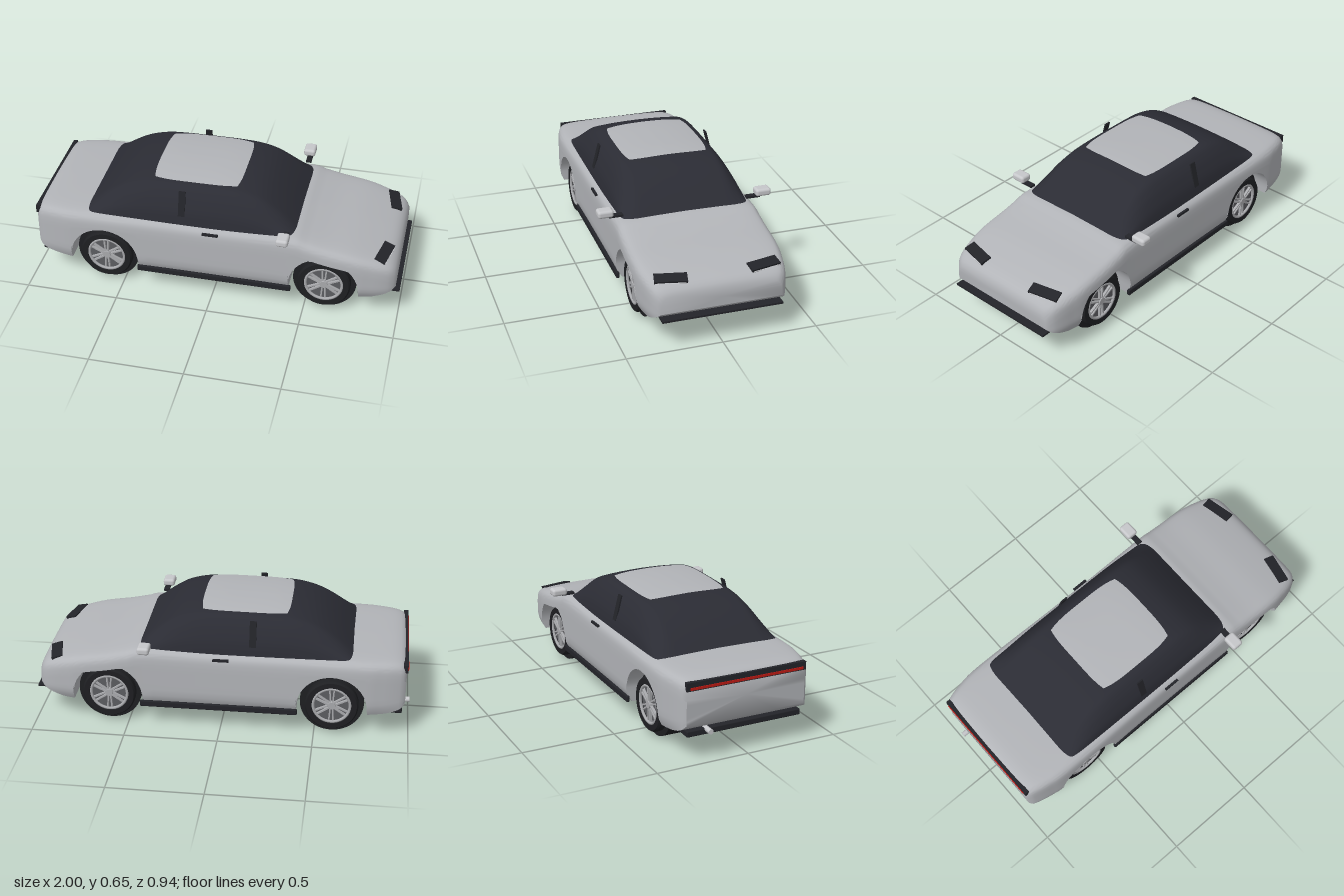
import * as THREE from 'three';
import { toCreasedNormals } from 'three/addons/utils/BufferGeometryUtils.js';
import { RoundedBoxGeometry } from 'three/addons/geometries/RoundedBoxGeometry.js';

const mat = (name, color) => {
  const m = new THREE.MeshStandardMaterial({ color });
  m.name = name;
  return m;
};

// Smooth curve through points, and a lookup of its height at x
const spline = (pts, n) => new THREE.SplineCurve(pts.map(p => new THREE.Vector2(...p))).getPoints(n);
function profile(pts) {
  const c = spline(pts, 300);
  return x => {
    let i = 1;
    while (i < c.length - 1 && c[i].x < x) i++;
    const a = c[i - 1], b = c[i];
    const t = THREE.MathUtils.clamp((x - a.x) / (b.x - a.x || 1), 0, 1);
    return a.y + (b.y - a.y) * t;
  };
}

// Skin over half sections [z, y] (bottom centre to top centre), mirrored in z, capped at both ends
function loft(stations, section, crease) {
  const pos = [], idx = [];
  let n = 0;
  for (const s of stations) {
    const half = section(s);
    const ring = [...half, ...half.slice(1, -1).reverse().map(([z, y]) => [-z, y])];
    n = ring.length;
    ring.forEach(([z, y]) => pos.push(s.x, y, z));
  }
  const m = stations.length;
  for (let i = 0; i < m - 1; i++) for (let j = 0; j < n; j++) {
    const k = (j + 1) % n, a = i * n + j, b = i * n + k;
    idx.push(a, a + n, b + n, a, b + n, b);
  }
  [0, m - 1].forEach(i => {
    const mid = pos.length / 3;
    const ys = section(stations[i]);
    pos.push(stations[i].x, (ys[0][1] + ys[ys.length - 1][1]) / 2, 0);
    for (let j = 0; j < n; j++) {
      const a = i * n + j, b = i * n + (j + 1) % n;
      i === 0 ? idx.push(mid, a, b) : idx.push(mid, b, a);
    }
  });
  const g = new THREE.BufferGeometry();
  g.setAttribute('position', new THREE.Float32BufferAttribute(pos, 3));
  g.setIndex(idx);
  return toCreasedNormals(g, crease);
}

export function createModel() {
  const car = new THREE.Group();
  car.name = 'car';
  const paint = mat('silver paint', 0xb2b4b8), glass = mat('dark glass', 0x2b2c34);
  const trim = mat('black trim', 0x232429), rubber = mat('rubber', 0x1e1f22);
  const alloy = mat('alloy', 0xa9aaad), dish = mat('wheel dish', 0x5c5d61);
  const light = mat('mirror and lens', 0xc6c7ca), red = mat('tail red', 0xc01a14);
  const add = (name, geo, m, x = 0, y = 0, z = 0, parent = car) => {
    const o = new THREE.Mesh(geo, m);
    o.name = name;
    o.position.set(x, y, z);
    parent.add(o);
    return o;
  };
  const box = (name, m, size, at, parent) => add(name, new THREE.BoxGeometry(...size), m, ...at, parent);
  const wheelX = [-0.59, 0.602], wheelR = 0.17, archR = 0.188;

  // Body shell: top line, underside and plan width, with the wheel arches cut into the underside
  const top = profile([[-0.973, 0.415], [-0.95, 0.435], [-0.85, 0.448], [-0.5, 0.453], [0, 0.453], [0.4, 0.459],
    [0.5, 0.44], [0.6, 0.418], [0.75, 0.393], [0.9, 0.355], [0.955, 0.33], [0.978, 0.3]]);
  const under = profile([[-0.973, 0.2], [-0.95, 0.175], [-0.9, 0.155], [-0.8, 0.14], [-0.4, 0.115], [0.4, 0.115],
    [0.8, 0.13], [0.88, 0.145], [0.95, 0.175], [0.978, 0.2]]);
  const width = profile([[-0.973, 0.33], [-0.95, 0.35], [-0.85, 0.375], [-0.7, 0.388], [-0.2, 0.383], [0.3, 0.383],
    [0.7, 0.388], [0.85, 0.372], [0.94, 0.347], [0.978, 0.315]]);
  const stations = [];
  const plain = (a, b, n) => {
    for (let i = 0; i <= n; i++) {
      const x = a + (b - a) * i / n;
      stations.push({ x, yb: under(x) });
    }
  };
  const arch = c => {
    for (let i = 0; i <= 20; i++) {
      const a = Math.PI * (1 - i / 20);
      stations.push({ x: c + Math.cos(a) * (archR - 0.002), yb: wheelR + Math.sin(a) * archR });
    }
  };
  plain(-0.973, wheelX[0] - archR, 12);
  arch(wheelX[0]);
  plain(wheelX[0] + archR, wheelX[1] - archR, 14);
  arch(wheelX[1]);
  plain(wheelX[1] + archR, 0.978, 14);
  const shoulder = spline([[1, 0.09], [0.99, 0.05], [0.955, 0.025], [0.87, 0.01], [0.6, 0.003], [0, 0]], 18);
  add('body', loft(stations, ({ x, yb }) => {
    const w = width(x), yt = top(x), ys = yt - 0.09;
    const tuck = y => w * (1 - 0.08 * Math.max(0, (0.2 - y) / 0.08) ** 2);
    const low = Math.min(yb, ys - 0.002);
    const pts = [[0, yb], [w * 0.5, yb]];
    for (let i = 0; i < 7; i++) {
      const y = low + (ys - low) * i / 7;
      pts.push([tuck(y), y]);
    }
    shoulder.forEach(p => pts.push([p.x * w, yt - p.y]));
    return pts;
  }, 0.75), paint);

  // Glasshouse
  const belt = 0.43, cabinW = 0.353;
  const roofLine = profile([[-0.7, 0.44], [-0.6, 0.528], [-0.5, 0.593], [-0.4, 0.628], [-0.3, 0.64], [-0.1, 0.644],
    [0.05, 0.643], [0.15, 0.634], [0.25, 0.602], [0.35, 0.533], [0.44, 0.45]]);
  const cabinPts = [[0, 1], [0.3, 0.987], [0.58, 0.95], [0.72, 0.9], [0.82, 0.74], [0.89, 0.56], [0.957, 0.32], [1, 0]];
  const cabinCurve = spline(cabinPts, 28).reverse(), cabinShape = profile(cabinPts);
  const cabinStations = Array.from({ length: 45 }, (_, i) => ({ x: -0.7 + 1.14 * i / 44 }));
  add('cabin', loft(cabinStations, ({ x }) => [[0, belt],
    ...cabinCurve.map(p => [p.x * cabinW, belt + p.y * (roofLine(x) - belt)])], 0.7), glass);

  // Roof panel laid over the cabin
  const panel = new THREE.PlaneGeometry(2, 2, 20, 24).rotateX(-Math.PI / 2);
  const pp = panel.attributes.position;
  for (let i = 0; i < pp.count; i++) {
    const u = pp.getX(i), v = pp.getZ(i);
    const x = -0.115 + u * (0.236 - 0.014 * v ** 4), z = v * (0.231 - 0.018 * u ** 4);
    pp.setXYZ(i, x, belt + cabinShape(Math.abs(z) / cabinW) * (roofLine(x) - belt) + 0.005, z);
  }
  panel.computeVertexNormals();
  add('roofPanel', panel, paint);

  // Wheels: wide inner tyre, narrower outer shoulder, spoked rim
  const tyreGeo = toCreasedNormals(new THREE.LatheGeometry([[0, 0.1], [0.17, 0.1], [0.17, 0.31], [0.142, 0.312],
    [0.142, 0.343], [0.134, 0.354], [0.106, 0.354], [0.1, 0.33], [0, 0.33]].map(p => new THREE.Vector2(...p)), 48)
    .rotateX(Math.PI / 2), 0.5);
  const dishGeo = new THREE.CylinderGeometry(0.099, 0.099, 0.006, 32).rotateX(Math.PI / 2);
  const hubGeo = new THREE.CylinderGeometry(0.02, 0.024, 0.02, 16).rotateX(Math.PI / 2);
  const rimGeo = new THREE.TorusGeometry(0.098, 0.008, 8, 40);
  for (const x of wheelX) for (const s of [1, -1]) {
    const w = new THREE.Group();
    w.name = (x > 0 ? 'front' : 'rear') + (s > 0 ? 'Left' : 'Right') + 'Wheel';
    w.position.set(x, wheelR, 0);
    w.rotation.y = s > 0 ? 0 : Math.PI;
    car.add(w);
    add('tyre', tyreGeo, rubber, 0, 0, 0, w);
    add('dish', dishGeo, dish, 0, 0, 0.331, w);
    add('rim', rimGeo, alloy, 0, 0, 0.346, w);
    add('hub', hubGeo, alloy, 0, 0, 0.343, w);
    for (let i = 0; i < 6; i++) for (const d of [-1, 1]) {
      const a = Math.PI / 6 + i * Math.PI / 3;
      const spoke = box('spoke', alloy, [0.085, 0.008, 0.014],
        [Math.cos(a) * 0.055 - Math.sin(a) * d * 0.009, Math.sin(a) * 0.055 + Math.cos(a) * d * 0.009, 0.341], w);
      spoke.rotation.z = a + d * 0.07;
    }
  }

  // Paired side details
  for (const s of [1, -1]) {
    add('mirror', new RoundedBoxGeometry(0.064, 0.04, 0.084, 4, 0.014), light, 0.39, 0.489, s * 0.43);
    box('mirrorStalk', trim, [0.03, 0.012, 0.075], [0.395, 0.469, s * 0.375]);
    box('doorHandle', trim, [0.085, 0.012, 0.012], [-0.005, 0.418, s * 0.381]);
    add('sill', new RoundedBoxGeometry(0.84, 0.034, 0.018, 3, 0.006), trim, 0.01, 0.134, s * 0.376);
    const pillar = box('doorPillar', trim, [0.036, 0.14, 0.008], [-0.168, 0.552, s * 0.322]);
    pillar.rotation.x = -s * 0.25;

    const lamp = new THREE.Group();
    lamp.name = 'headlight';
    lamp.position.set(0.9, 0.349, s * 0.242);
    lamp.rotation.set(0, -s * 0.21, -0.26, 'YXZ');
    car.add(lamp);
    box('headlightCover', trim, [0.06, 0.018, 0.165], [0, 0, 0], lamp);
    box('headlightLens', light, [0.008, 0.01, 0.15], [0.03, -0.006, 0], lamp);
  }

  // Front splitter, rear diffuser, exhaust and tail lamp
  box('splitter', trim, [0.075, 0.01, 0.63], [0.9625, 0.169, 0]);
  add('diffuser', new RoundedBoxGeometry(0.12, 0.032, 0.64, 2, 0.006), trim, -0.9, 0.147, 0);
  add('exhaust', new THREE.CylinderGeometry(0.014, 0.014, 0.08, 16).rotateZ(Math.PI / 2), light, -0.96, 0.158, -0.21);
  box('tailLampSurround', trim, [0.024, 0.044, 0.664], [-0.967, 0.402, 0]);
  box('tailLamp', red, [0.006, 0.013, 0.63], [-0.98, 0.392, 0]);
  return car;
}
